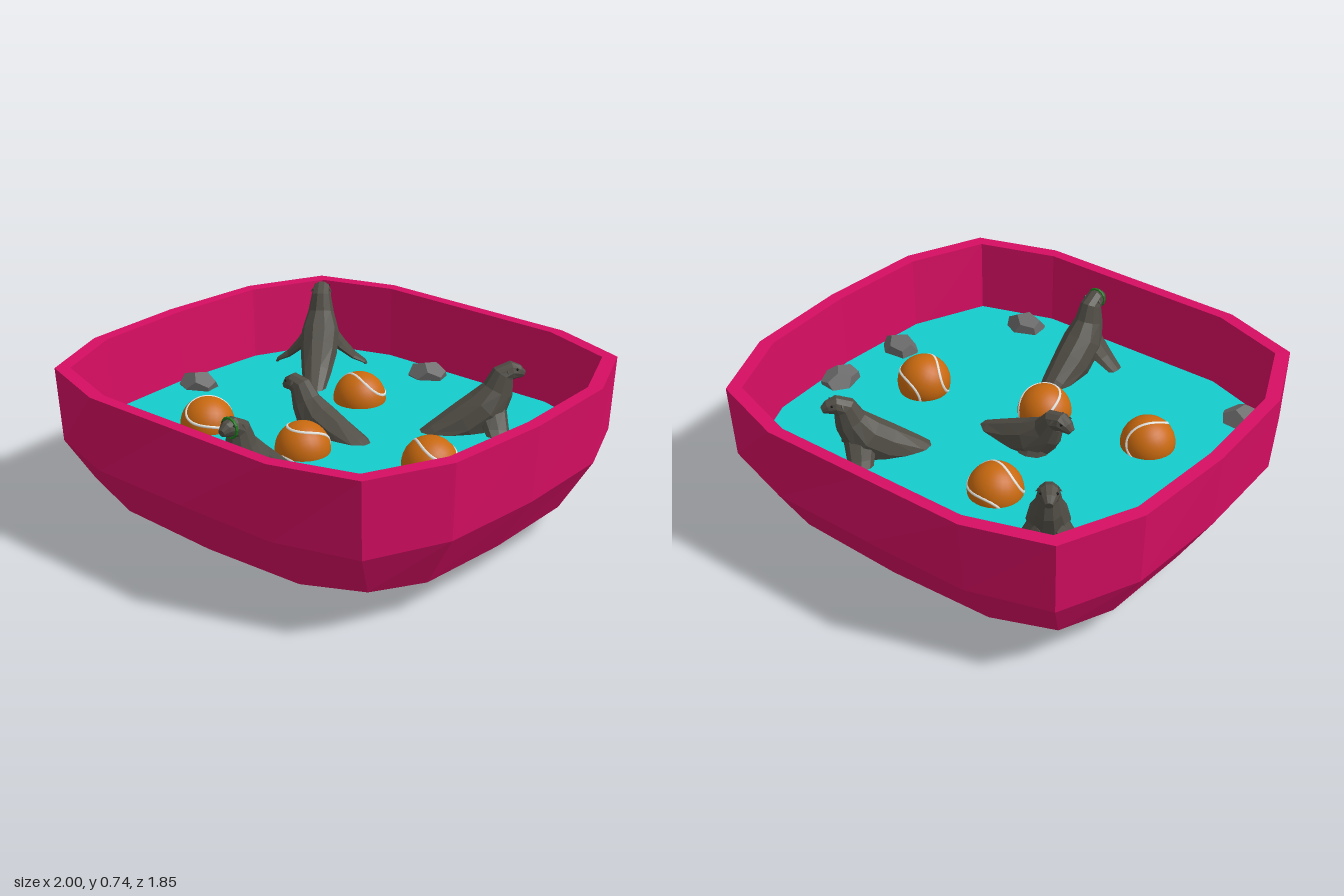
import * as THREE from 'three';

const WATER_Y = 0.36;
const mat = (color, flat = true) => new THREE.MeshStandardMaterial({ color, flatShading: flat });
const pink = mat(0xd60e62), teal = mat(0x14cccc), stone = mat(0x6a6a6a), hide = mat(0x504d45);
const orange = mat(0xc8690f, false), white = mat(0xe4e4e0, false), green = mat(0x1f7a1f), black = mat(0x181818);

function add(parent, name, geometry, material, pos = [0, 0, 0], rot = [0, 0, 0]) {
  const m = new THREE.Mesh(geometry, material);
  m.name = name;
  m.position.set(...pos);
  m.rotation.set(...rot);
  parent.add(m);
  return m;
}

function geometryFrom(positions, index) {
  const g = new THREE.BufferGeometry();
  g.setAttribute('position', new THREE.Float32BufferAttribute(positions, 3));
  if (index) g.setIndex(index);
  g.computeVertexNormals();
  return g;
}

// One quarter of an outline (front middle round to side middle), mirrored to 16 points
function ring(quarter) {
  const pts = [];
  for (let k = 0; k < 16; k++) {
    const q = k % 8;
    const [x, y, z] = quarter[q <= 4 ? q : 8 - q];
    pts.push([k < 8 ? x : -x, y, k > 4 && k < 12 ? -z : z]);
  }
  return pts;
}

const RIM = [[0, 0.68, 0.925], [0.47, 0.68, 0.925], [0.82, 0.68, 0.81], [0.97, 0.68, 0.47], [1, 0.68, 0]];
const BELLY = [[0, 0.36, 0.905], [0.47, 0.36, 0.9], [0.81, 0.36, 0.795], [0.955, 0.36, 0.46], [0.98, 0.36, 0]];
// Quarter of the rounded floor, rows by z, columns by x
const FLOOR = [
  [[0, 0, 0], [0.47, 0.015, 0], [0.83, 0.12, 0]],
  [[0, 0.015, 0.43], [0.46, 0.03, 0.42], [0.82, 0.13, 0.43]],
  [[0, 0.12, 0.765], [0.47, 0.13, 0.755], [0.75, 0.17, 0.69]],
];
const inset = (s, y) => RIM.map(([x, , z]) => [x * s, y, z * s]);

function basinGeometry() {
  const out = [];
  const quad = (a, b, c, d) => out.push(...a, ...b, ...c, ...a, ...c, ...d);
  const edge = [FLOOR[2][0], FLOOR[2][1], FLOOR[2][2], FLOOR[1][2], FLOOR[0][2]];
  const rings = [edge, BELLY, RIM, inset(0.945, 0.68), inset(0.93, 0.3)].map(ring);
  for (let r = 0; r < rings.length - 1; r++) {
    for (let k = 0; k < 16; k++) {
      const n = (k + 1) % 16;
      quad(rings[r][k], rings[r][n], rings[r + 1][n], rings[r + 1][k]);
    }
  }
  const p = (i, j) => {
    const [x, y, z] = FLOOR[Math.abs(j)][Math.abs(i)];
    return [x * Math.sign(i), y, z * Math.sign(j)];
  };
  for (let i = -2; i < 2; i++) {
    for (let j = -2; j < 2; j++) quad(p(i, j), p(i + 1, j), p(i + 1, j + 1), p(i, j + 1));
  }
  return geometryFrom(out);
}

// Elliptical sections [x, y, z, halfWidth, halfHeight] joined along a path
function loft(sections, side, sides = 10) {
  const pos = [], index = [];
  const at = (i) => new THREE.Vector3(...sections[i].slice(0, 3));
  const last = sections.length - 1;
  sections.forEach(([, , , w, h], i) => {
    const t = at(Math.min(i + 1, last)).sub(at(Math.max(i - 1, 0))).normalize();
    const up = t.clone().cross(side).normalize();
    for (let k = 0; k < sides; k++) {
      const a = (k / sides) * Math.PI * 2;
      const v = at(i).addScaledVector(side, w * Math.cos(a)).addScaledVector(up, h * Math.sin(a));
      pos.push(v.x, v.y, v.z);
      if (i < last) {
        const n = (k + 1) % sides, b = i * sides, c = b + sides;
        index.push(b + k, b + n, c + n, b + k, c + n, c + k);
      }
    }
  });
  for (let k = 1; k < sides - 1; k++) {
    index.push(0, k + 1, k);
    index.push(last * sides, last * sides + k, last * sides + k + 1);
  }
  return geometryFrom(pos, index);
}

const X = new THREE.Vector3(1, 0, 0), Z = new THREE.Vector3(0, 0, 1);
const seaLionBody = loft([
  [0, -0.02, -0.37, 0.04, 0.02], [0, 0.04, -0.26, 0.065, 0.055], [0, 0.095, -0.14, 0.082, 0.095],
  [0, 0.17, -0.055, 0.085, 0.095], [0, 0.255, -0.015, 0.058, 0.068], [0, 0.325, -0.002, 0.044, 0.05],
  [0, 0.344, 0.03, 0.04, 0.04], [0, 0.34, 0.06, 0.03, 0.03], [0, 0.332, 0.085, 0.016, 0.016],
], X);
const flipper = (s) => loft([
  [s * 0.03, 0.17, -0.04, 0.07, 0.04], [s * 0.09, 0.1, -0.02, 0.055, 0.025],
  [s * 0.15, 0.04, -0.005, 0.038, 0.014], [s * 0.2, 0.01, 0, 0.02, 0.008], [s * 0.22, -0.03, 0.0, 0.008, 0.005],
], Z, 8);

// Sea lion facing dir, sunk into the water and pitched forward
function seaLion([x, z], [dx, dz], sink, pitch) {
  const g = new THREE.Group();
  g.name = 'seaLion';
  g.position.set(x, WATER_Y - sink, z);
  g.rotation.set(pitch, Math.atan2(dx, dz), 0, 'YXZ');
  add(g, 'body', seaLionBody, hide);
  for (const s of [-1, 1]) {
    add(g, 'flipper', flipper(s), hide);
    add(g, 'eye', new THREE.SphereGeometry(0.006, 6, 4), black, [s * 0.03, 0.358, 0.045]);
    add(g, 'ear', new THREE.ConeGeometry(0.007, 0.022, 5), hide, [s * 0.042, 0.345, 0.005], [0, 0, s * -2.3]);
  }
  return g;
}

// Closed wavy seam around a unit ball
class Seam extends THREE.Curve {
  getPoint(u, target = new THREE.Vector3()) {
    const t = u * Math.PI * 2;
    return target.set(
      0.75 * Math.cos(t) + 0.25 * Math.cos(3 * t),
      0.75 * Math.sin(t) - 0.25 * Math.sin(3 * t),
      0.866 * Math.sin(2 * t));
  }
}

function ball(x, y, z, rot) {
  const g = new THREE.Group();
  g.name = 'ball';
  g.position.set(x, y, z);
  g.rotation.set(...rot);
  g.scale.setScalar(0.115);
  add(g, 'ballShell', new THREE.SphereGeometry(1, 28, 18), orange);
  add(g, 'ballSeam', new THREE.TubeGeometry(new Seam(), 90, 0.07, 6, true), white).scale.setScalar(0.965);
  return g;
}

export function createModel() {
  const model = new THREE.Group();
  model.name = 'seaLionPool';

  // Basin and water
  add(model, 'basin', basinGeometry(), pink);
  const outline = ring(inset(0.935, 0)).map(([x, , z]) => new THREE.Vector2(x, -z));
  add(model, 'water', new THREE.ShapeGeometry(new THREE.Shape(outline)), teal, [0, WATER_Y, 0], [-Math.PI / 2, 0, 0]);

  // Sea lions; the front one wears a muzzle ring
  model.add(seaLion([-0.12, 0], [-1, 0], 0.15, 0.3));
  model.add(seaLion([-0.62, -0.585], [-0.6, -0.8], 0, 0));
  model.add(seaLion([0.43, -0.495], [0.62, -0.78], 0.09, 0.12));
  const front = seaLion([0.1, 0.69], [0, 1], 0.05, 0);
  add(front, 'muzzleRing', new THREE.TorusGeometry(0.039, 0.006, 6, 14), green, [0, 0.342, 0.042]);
  model.add(front);

  // Floating balls
  model.add(ball(0, 0.37, 0.22, [-0.5, 0, Math.PI / 4]));
  model.add(ball(-0.185, 0.37, -0.35, [0.25, 1.3, 0]));
  model.add(ball(0.525, 0.4, 0.05, [0.1, 1.0, 0.4]));
  model.add(ball(-0.48, 0.37, 0.29, [-0.2, -0.7, 0.1]));

  // Rocks: x, z, turn
  const rocks = [[-0.14, -0.77, 0.2], [0.68, -0.7, -0.2], [0.85, -0.13, 1.4], [-0.83, 0, 0.1],
    [0.82, 0.23, -0.3], [-0.7, 0.68, 0.4], [0.49, 0.73, 0]];
  for (const [x, z, turn] of rocks) {
    const g = new THREE.DodecahedronGeometry(1, 0).rotateZ(0.4).rotateX(0.3);
    g.scale(0.097, 0.072, 0.075);
    add(model, 'rock', g, stone, [x, WATER_Y, z], [0, turn, 0]);
  }
  return model;
}
